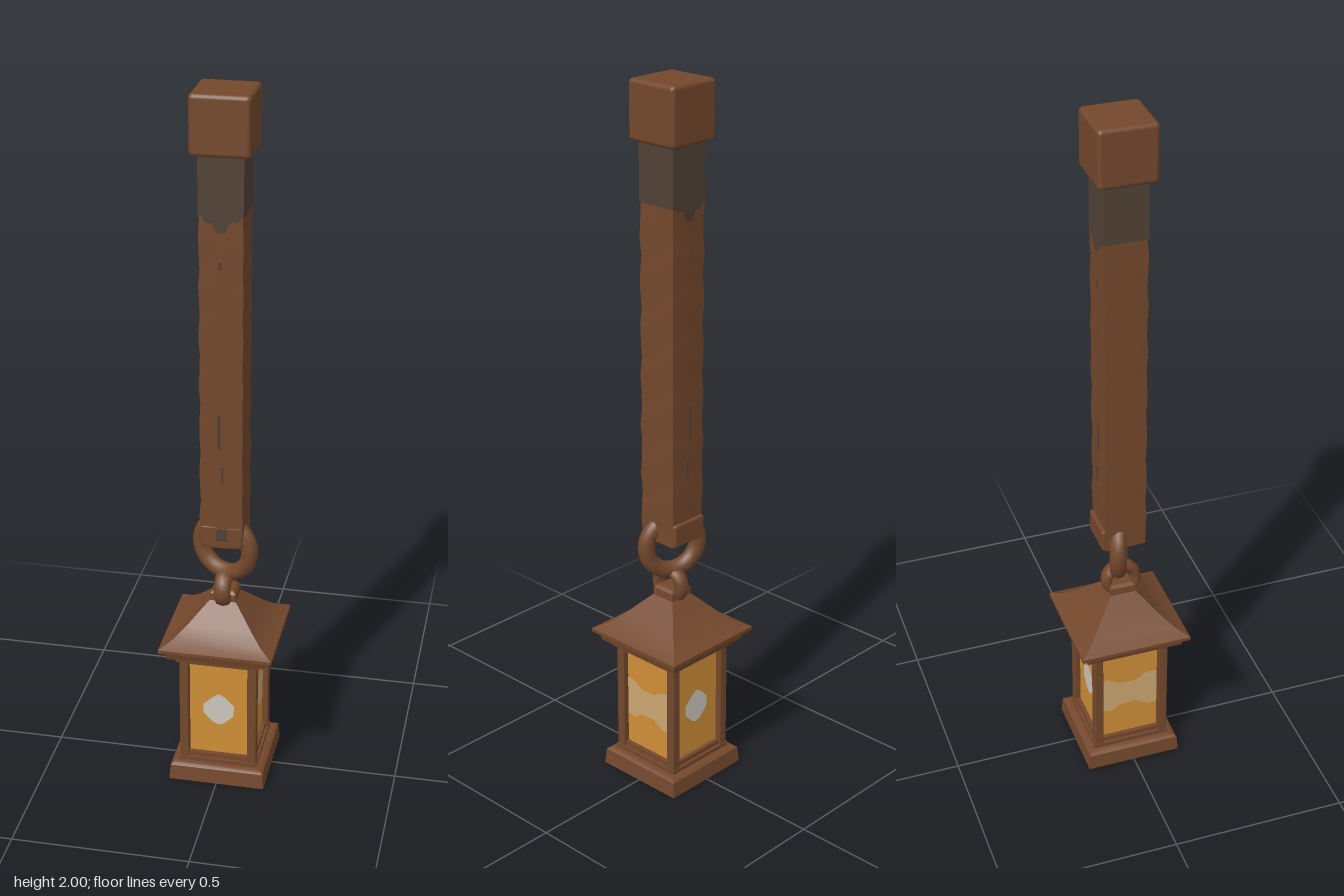
import * as THREE from 'three';
import { toCreasedNormals } from 'three/addons/utils/BufferGeometryUtils.js';
import { RoundedBoxGeometry } from 'three/addons/geometries/RoundedBoxGeometry.js';

export function createModel() {
  const model = new THREE.Group();
  const mat = (name, color, side = THREE.FrontSide) => {
    const m = new THREE.MeshStandardMaterial({ color, side });
    m.name = name;
    return m;
  };
  const wood = mat('rusty brown', 0x74482c);
  const soot = mat('sooty brown', 0x514135, THREE.DoubleSide);
  const glass = mat('amber glass', 0xcf8f38);
  const glow = mat('pale glow', 0xcdc8bd, THREE.DoubleSide);
  const haze = mat('warm haze', 0xcda871, THREE.DoubleSide);

  const add = (name, geometry, material, x = 0, y = 0, z = 0, parent = model) => {
    const mesh = new THREE.Mesh(geometry, material);
    mesh.name = name;
    mesh.position.set(x, y, z);
    parent.add(mesh);
    return mesh;
  };
  const rounded = (w, h, d, r = 0.006) => new RoundedBoxGeometry(w, h, d, 2, r);
  // Square tower from [half width, height] pairs, bottom to top
  const square = (profile) => {
    const pts = profile.map(([r, y]) => new THREE.Vector2(r * Math.SQRT2, y));
    return toCreasedNormals(new THREE.LatheGeometry(pts, 4).rotateY(Math.PI / 4), 0.5);
  };
  const flat = (points) =>
    new THREE.ShapeGeometry(new THREE.Shape(points.map(([x, y]) => new THREE.Vector2(x, y))));

  // Weathered beam with slightly worn edges
  const beamGeo = new THREE.BoxGeometry(0.12, 0.95, 0.12, 2, 20, 2);
  const p = beamGeo.attributes.position;
  for (let i = 0; i < p.count; i++) {
    const x = p.getX(i), y = p.getY(i), z = p.getZ(i);
    if (Math.abs(x) > 0.05 && Math.abs(z) > 0.05) {
      const wear = 1 - 0.03 * (1 + Math.sin(y * 47 + x * 60 + z * 25));
      p.setX(i, x * wear);
      p.setZ(i, z * wear);
    }
  }
  add('beam', toCreasedNormals(beamGeo, 0.5), wood, 0, 1.205, 0);
  add('beamTop', new THREE.BoxGeometry(0.12, 0.18, 0.12), soot, 0, 1.77, 0);
  add('beamCap', rounded(0.16, 0.16, 0.16, 0.012), wood, 0, 1.92, 0);

  // Ragged edge of the soot and cracks on the front and back of the beam
  for (const s of [1, -1]) {
    const stain = flat([[-0.058, 1.69], [-0.04, 1.665], [-0.025, 1.665], [-0.01, 1.64],
      [0.012, 1.64], [0.025, 1.67], [0.045, 1.67], [0.058, 1.69]]);
    add('sootEdge', stain, soot, 0, 0, s * 0.0615);
    for (const [x, y, h] of [[-0.006, 1.08, 0.1], [0.004, 0.95, 0.05], [-0.004, 1.55, 0.02]])
      add('crack', new THREE.BoxGeometry(0.006, h, 0.002), soot, x, y, s * 0.061);
  }

  // Clasp at the lower end of the beam, with the large ring through it
  add('clasp', rounded(0.115, 0.065, 0.128), wood, 0, 0.763, -0.004);
  add('claspPin', new THREE.BoxGeometry(0.03, 0.035, 0.004), soot, 0, 0.77, 0.061);
  const ring = add('hangingRing', new THREE.TorusGeometry(0.079, 0.024, 10, 36), wood, 0, 0.706, 0);
  ring.rotation.y = -0.36;

  // Small loop on top of the roof
  const loop = add('roofLoop', new THREE.TorusGeometry(0.043, 0.016, 8, 28), wood, 0, 0.58, 0.005);
  loop.rotation.y = Math.PI / 2;
  loop.scale.z = 1.5;
  add('roofFinial', square([[0.038, 0.535], [0.036, 0.57], [0.028, 0.578], [0, 0.578]]), wood);

  // Flared roof over stepped eaves
  add('roof', square([[0, 0.425], [0.15, 0.425], [0.16, 0.432], [0.16, 0.442], [0.125, 0.46],
    [0.09, 0.492], [0.06, 0.525], [0.034, 0.552], [0, 0.554]]), wood);
  add('eaves', square([[0, 0.385], [0.118, 0.385], [0.12, 0.403], [0.14, 0.405],
    [0.145, 0.425], [0, 0.425]]), wood);

  // Stepped base
  add('base', square([[0, 0], [0.138, 0], [0.134, 0.045], [0.125, 0.052],
    [0.113, 0.054], [0.113, 0.066], [0, 0.066]]), wood);

  // Glass box and corner posts
  add('glass', new THREE.BoxGeometry(0.186, 0.34, 0.186), glass, 0, 0.225, 0);
  for (const x of [-1, 1]) for (const z of [-1, 1])
    add('cornerPost', rounded(0.027, 0.345, 0.027, 0.004), wood, x * 0.0975, 0.225, z * 0.0975);

  // Window frames and the light patches on the four panes
  const diamond = [[-0.044, 0.015], [-0.018, 0.04], [0, 0.052], [0.018, 0.042], [0.044, 0.015],
    [0.042, -0.018], [0.015, -0.045], [0, -0.05], [-0.018, -0.042], [-0.044, -0.015]];
  const bowtie = [[-0.083, 0.06], [-0.06, 0.06], [-0.03, 0.04], [0.02, 0.04], [0.05, 0.06],
    [0.083, 0.06], [0.083, -0.058], [0.055, -0.062], [0.02, -0.04], [-0.03, -0.042],
    [-0.055, -0.06], [-0.083, -0.055]];
  for (let i = 0; i < 4; i++) {
    const side = new THREE.Group();
    side.name = 'window';
    side.rotation.y = i * Math.PI / 2;
    model.add(side);
    for (const y of [0.07, 0.384])
      add('frameRail', new THREE.BoxGeometry(0.18, 0.02, 0.018), wood, 0, y, 0.096, side);
    if (i % 2) add('hazePatch', flat(bowtie), haze, 0, 0.228, 0.0945, side);
    else add('glowPatch', flat(diamond), glow, 0, 0.225, 0.0945, side);
  }
  return model;
}
